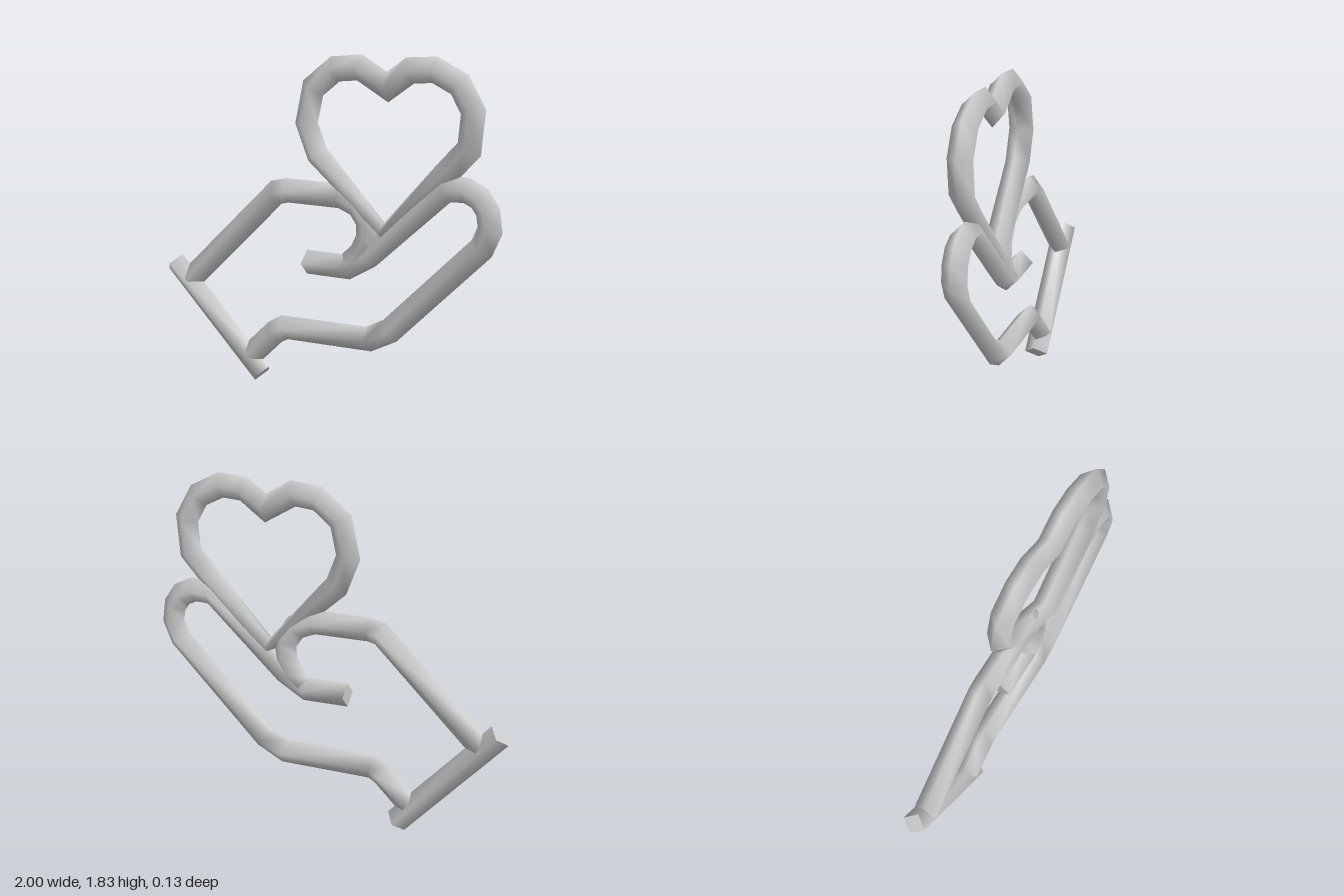
import * as THREE from 'three';

const R = 0.065; // half width of the diamond-section rod

// Four-sided rod swept along a flat path of [x, y, optionalRadius], with mitred corners.
function rod(name, path, material, closed = false) {
  const n = path.length;
  const pos = [], index = [];
  const dir = (a, b) => new THREE.Vector2(b[0] - a[0], b[1] - a[1]).normalize();

  path.forEach((p, i) => {
    const prev = closed || i > 0 ? path[(i + n - 1) % n] : null;
    const next = closed || i < n - 1 ? path[(i + 1) % n] : null;
    const tIn = prev ? dir(prev, p) : dir(p, next);
    const tOut = next ? dir(p, next) : tIn;
    const t = tIn.clone().add(tOut).normalize();
    const r = p[2] ?? R / Math.max(t.dot(tIn), 0.7);
    const nx = -t.y * r, ny = t.x * r;
    pos.push(p[0] + nx, p[1] + ny, 0, p[0], p[1], R);
    pos.push(p[0] - nx, p[1] - ny, 0, p[0], p[1], -R);
  });

  const spans = closed ? n : n - 1;
  for (let i = 0; i < spans; i++) {
    for (let j = 0; j < 4; j++) {
      const k = (j + 1) % 4, m = ((i + 1) % n) * 4;
      const a = i * 4 + j, b = i * 4 + k, c = m + j, d = m + k;
      index.push(a, b, c, b, d, c);
    }
  }

  // Flat end caps on their own vertices
  if (!closed) {
    for (const [ring, order] of [[0, [0, 3, 2, 1]], [n - 1, [0, 1, 2, 3]]]) {
      const s = pos.length / 3;
      for (const j of order) {
        const o = (ring * 4 + j) * 3;
        pos.push(pos[o], pos[o + 1], pos[o + 2]);
      }
      index.push(s, s + 1, s + 2, s, s + 2, s + 3);
    }
  }

  const geometry = new THREE.BufferGeometry();
  geometry.setAttribute('position', new THREE.Float32BufferAttribute(pos, 3));
  geometry.setIndex(index);
  geometry.computeVertexNormals();
  const mesh = new THREE.Mesh(geometry, material);
  mesh.name = name;
  return mesh;
}

export function createModel() {
  const grey = new THREE.MeshStandardMaterial({ color: 0xcccccc });
  grey.name = 'light grey';
  const group = new THREE.Group();
  group.name = 'handHoldingHeart';

  // Cuff bar across the wrist
  group.add(rod('cuff', [[-0.953, 0.613], [-0.395, 0.048]], grey));

  // Back of the wrist running into the thumb
  group.add(rod('thumb', [
    [-0.85, 0.53], [-0.295, 1.067], [-0.23, 1.083], [0.09, 1.083], [0.19, 1.045],
    [0.25, 0.96], [0.25, 0.87], [0.21, 0.79], [0.15, 0.73],
  ], grey));

  // Underside of the hand, round the fingertips and back along the palm
  group.add(rod('palmAndFingers', [
    [-0.46, 0.15], [-0.31, 0.295], [-0.25, 0.33], [0.26, 0.337], [0.385, 0.4],
    [0.89, 0.895], [0.932, 0.99], [0.92, 1.08], [0.875, 1.145], [0.8, 1.18],
    [0.69, 1.175], [0.26, 0.785], [0.13, 0.71], [-0.11, 0.71],
  ], grey));

  // Heart outline, slimmer at its lower tip
  group.add(rod('heart', [
    [0.36, 1.665], [0.2, 1.755], [0.06, 1.74], [-0.07, 1.635], [-0.11, 1.45],
    [-0.045, 1.29], [0.345, 0.92, 0.045], [0.7, 1.265], [0.812, 1.385],
    [0.83, 1.57], [0.755, 1.7], [0.62, 1.765], [0.485, 1.755],
  ], grey, true));

  return group;
}
